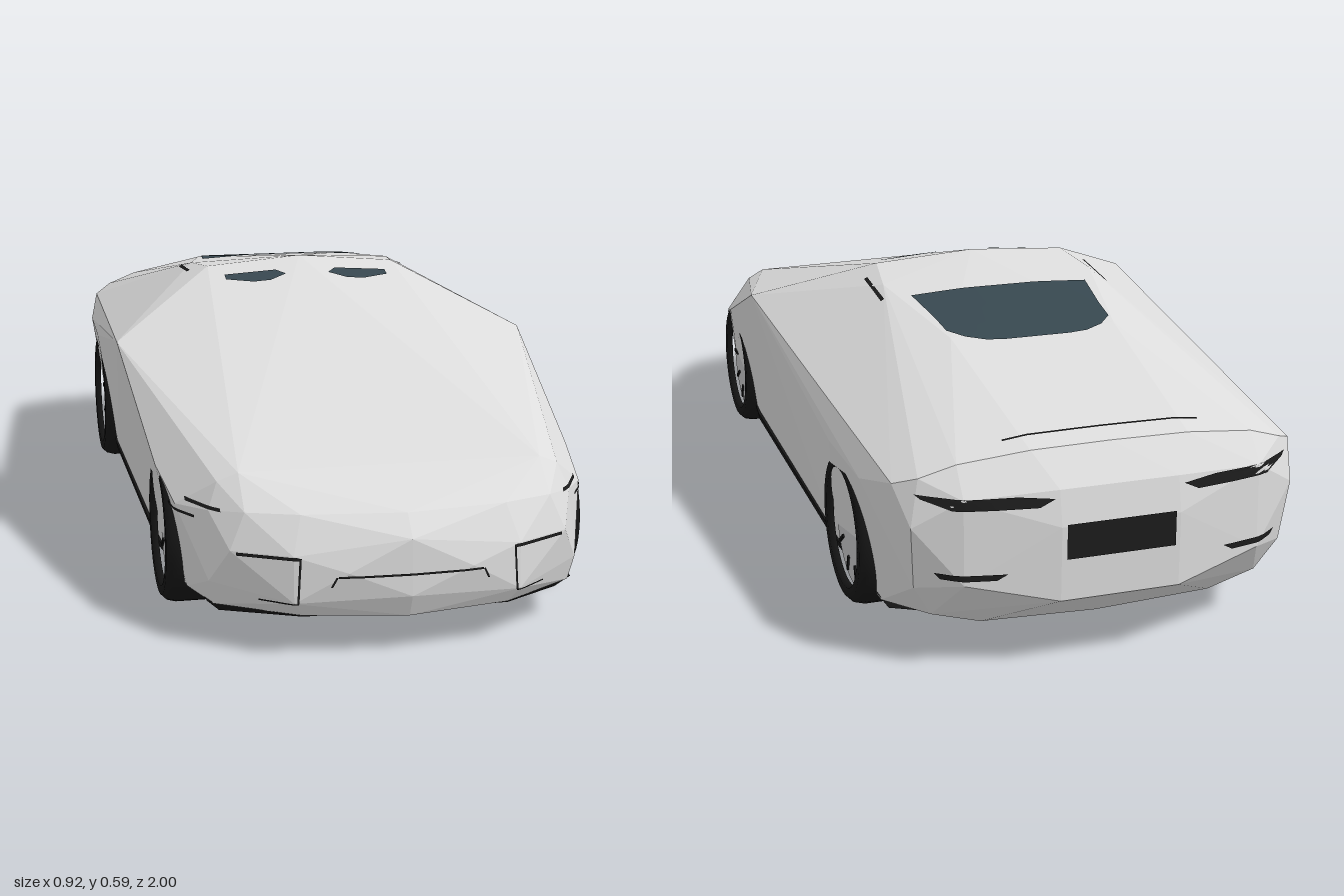
import * as THREE from 'three';
import { ConvexGeometry } from 'three/addons/geometries/ConvexGeometry.js';

const mat = (name, color, side = THREE.FrontSide) => {
  const m = new THREE.MeshStandardMaterial({ color, side });
  m.name = name;
  return m;
};

// Faceted solid from right-half points, mirrored in x
function mirroredHull(points) {
  const all = [];
  for (const [x, y, z] of points) {
    all.push(new THREE.Vector3(x, y, z));
    if (x > 0) all.push(new THREE.Vector3(-x, y, z));
  }
  return new ConvexGeometry(all);
}

export function createModel() {
  const car = new THREE.Group();
  const paint = mat('silver paint', 0xdcdcdc);
  const black = mat('black rubber', 0x161616);
  const glass = mat('dark glass', 0x37474f, THREE.DoubleSide);
  const trim = mat('black trim', 0x1c1c1c, THREE.DoubleSide);
  const rimMat = mat('wheel grey', 0xc4c4c6);

  const add = (name, geo, material, parent = car) => {
    const mesh = new THREE.Mesh(geo, material);
    mesh.name = name;
    parent.add(mesh);
    return mesh;
  };

  // Wedge body shell
  const body = add('bodyShell', mirroredHull([
    [0, 0.59, -0.08], [0.22, 0.573, -0.07], [0.24, 0.56, -0.2], [0.18, 0.523, -0.5], // roof
    [0.46, 0.452, 0.17],                                                        // shoulder peak
    [0.3, 0.328, 0.82], [0.34, 0.31, 0.81],                                      // bonnet crease
    [0, 0.27, 0.95], [0.2, 0.27, 0.925], [0.3, 0.27, 0.89], [0.36, 0.26, 0.83],   // nose top
    [0.412, 0.25, 0.74], [0.432, 0.29, 0.6],                                     // front wing
    [0, 0.23, 0.99], [0, 0.12, 0.995], [0.12, 0.17, 0.988], [0.22, 0.2, 0.96],
    [0.22, 0.11, 0.965], [0.33, 0.2, 0.9], [0.365, 0.13, 0.86],                   // bumper
    [0, 0.075, 0.975], [0.2, 0.08, 0.95], [0.355, 0.08, 0.85], [0.39, 0.08, 0.74],
    [0.4, 0.062, 0.4], [0.405, 0.062, -0.4], [0.395, 0.065, -0.72],               // lower edge
    [0.436, 0.33, -0.72], [0.442, 0.33, -0.5], [0.41, 0.37, -0.86],               // rear wing
    [0, 0.435, -0.93], [0.16, 0.433, -0.93], [0.3, 0.415, -0.915], [0.37, 0.39, -0.9],
    [0.12, 0.37, -0.985], [0.3, 0.36, -0.96], [0.39, 0.3, -0.92],                 // tail
    [0.12, 0.3, -1], [0.12, 0.15, -1], [0.3, 0.19, -0.965], [0.38, 0.17, -0.9],
    [0, 0.06, -0.88], [0.24, 0.07, -0.88], [0.34, 0.1, -0.88],
  ]), paint);

  // Black floor pan and sills
  add('floorPan', mirroredHull([
    [0.2, 0.055, 0.88], [0.34, 0.055, 0.82], [0.405, 0.055, 0.4], [0.408, 0.055, -0.4],
    [0.385, 0.055, -0.74], [0.2, 0.055, -0.84], [0.2, 0.078, 0.95], [0.365, 0.082, 0.84],
    [0.408, 0.072, 0.4], [0.411, 0.072, -0.4], [0.397, 0.072, -0.72],
  ]), black);

  // Thin plate laid on the shell: rows are [v, u0, u1], cast along the given axis
  const ray = new THREE.Raycaster();
  const casts = {
    top: (u, v) => [[u, 3, v], [0, -1, 0]],
    front: (u, v) => [[u, v, 3], [0, 0, -1]],
    back: (u, v) => [[u, v, -3], [0, 0, 1]],
    left: (u, v) => [[3, v, u], [-1, 0, 0]],
    right: (u, v) => [[-3, v, u], [1, 0, 0]],
  };
  function plate(name, axis, rows, material, cols = 8, lift = 0.003) {
    const pos = [], index = [];
    rows.forEach(([v, u0, u1], r) => {
      for (let c = 0; c <= cols; c++) {
        const [o, d] = casts[axis](u0 + (u1 - u0) * c / cols, v);
        const dir = new THREE.Vector3(...d);
        ray.set(new THREE.Vector3(...o), dir);
        const hit = ray.intersectObject(body)[0];
        if (!hit) return;
        pos.push(...hit.point.addScaledVector(dir, -lift).toArray());
        if (r && c) {
          const k = r * (cols + 1) + c, p = k - cols - 1;
          index.push(p - 1, k - 1, p, p, k - 1, k);
        }
      }
    });
    const geo = new THREE.BufferGeometry();
    geo.setAttribute('position', new THREE.Float32BufferAttribute(pos, 3));
    geo.setIndex(index);
    geo.computeVertexNormals();
    return add(name, geo, material);
  }

  // Windows
  plate('rearWindow', 'top', [
    [-0.28, -0.2, 0.2], [-0.32, -0.195, 0.195], [-0.4, -0.185, 0.185], [-0.47, -0.18, 0.18],
    [-0.505, -0.15, 0.15], [-0.525, -0.11, 0.11], [-0.53, -0.07, 0.07],
  ], glass, 10);
  for (const s of [-1, 1]) {
    const span = (v, a, b) => s > 0 ? [v, a, b] : [v, -b, -a];
    plate('windscreenSliver', 'top', [span(-0.01, 0.07, 0.19), span(0.015, 0.05, 0.19), span(0.04, 0.09, 0.13)], glass);
    plate('roofGutter', 'top', [span(-0.26, 0.255, 0.262), span(-0.12, 0.255, 0.262)], trim, 2);
    // Lamp outlines
    plate('frontLampTop', 'front', [span(0.193, 0.21, 0.32), span(0.199, 0.21, 0.32)], trim);
    plate('frontLampSide', 'front', [span(0.11, 0.211, 0.215), span(0.198, 0.206, 0.21)], trim, 2);
    plate('frontLampBase', 'front', [span(0.107, 0.212, 0.28), span(0.11, 0.212, 0.28)], trim);
    plate('headlampLine', 'front', [span(0.262, 0.34, 0.395), span(0.268, 0.34, 0.395)], trim);
    plate('grilleEnd', 'front', [span(0.143, 0.15, 0.154), span(0.163, 0.14, 0.144)], trim, 2);
    // Rear lamp slits and bumper slots
    plate('rearLampSlit', 'back', [span(0.34, 0.16, 0.32), span(0.355, 0.13, 0.37), span(0.362, 0.2, 0.38)], trim);
    plate('rearBumperSlot', 'back', [span(0.2, 0.24, 0.34), span(0.212, 0.22, 0.35)], trim);
    // Wing seam behind the front wheel arch
    plate('wingSeam', s > 0 ? 'left' : 'right', [[0.238, 0.68, 0.8], [0.243, 0.68, 0.8]], trim);
  }
  plate('grilleLine', 'front', [[0.161, -0.14, 0.14], [0.165, -0.14, 0.14]], trim);
  plate('rearPlateRecess', 'back', [[0.235, -0.11, 0.11], [0.305, -0.11, 0.11]], trim);
  plate('tailSeam', 'top', [[-0.885, -0.2, 0.2], [-0.88, -0.2, 0.2]], trim);

  // Wheels: rounded tyre, grey disc and dark spoke gaps
  function wheel(name, side, z, r, outer) {
    const g = new THREE.Group();
    g.name = name;
    const profile = [[0.78, -1], [0.9, -1], [0.97, -0.85], [1, -0.6], [1, 0.6], [0.97, 0.85], [0.9, 1], [0.78, 1], [0.76, 0.8]]
      .map(([a, b]) => new THREE.Vector2(a * r, b * 0.072));
    add('tyre', new THREE.LatheGeometry(profile, 40), black, g);
    add('wheelDisc', new THREE.CylinderGeometry(r * 0.79, r * 0.79, 0.1, 32), rimMat, g);
    for (let i = 0; i < 10; i++) {
      const a = i * Math.PI / 5 + 0.3;
      const gap = add('spokeGap', new THREE.BoxGeometry(0.035, 0.008, 0.007), black, g);
      gap.position.set(Math.cos(a) * r * 0.62, 0.05, Math.sin(a) * r * 0.62);
      gap.rotation.y = -a;
    }
    g.rotation.z = -side * Math.PI / 2;
    g.position.set(side * (outer - 0.072), r, z);
    car.add(g);
  }
  for (const s of [-1, 1]) {
    const label = s > 0 ? 'left' : 'right';
    wheel(label + 'FrontWheel', s, 0.58, 0.152, 0.427);
    wheel(label + 'RearWheel', s, -0.56, 0.16, 0.434);
  }
  return car;
}
